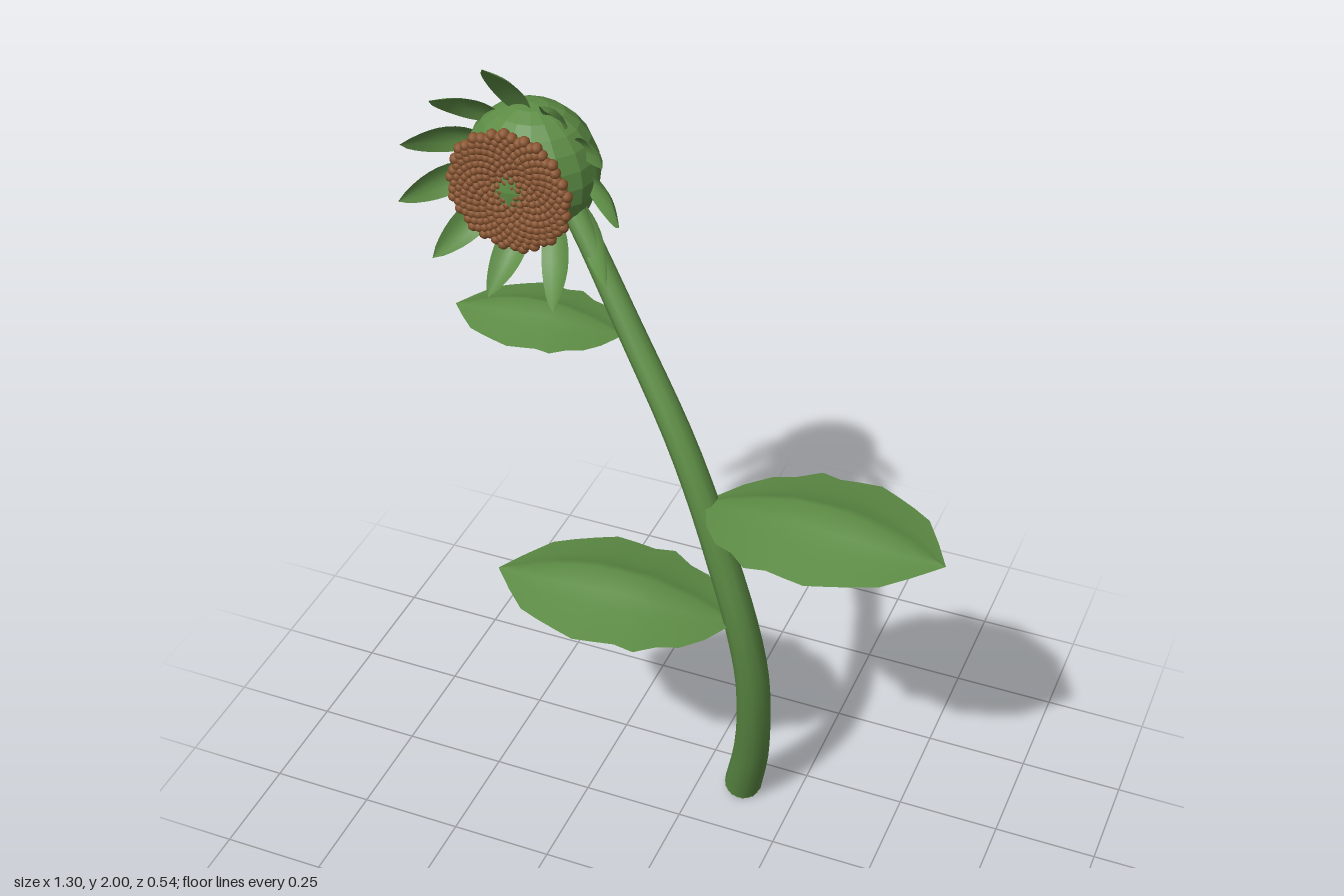
import * as THREE from 'three';

const V = (x, y, z) => new THREE.Vector3(x, y, z);

// Surface from a grid: point(t, s) with t in 0..1 along and s in -1..1 across
function surface(nt, ns, point) {
  const pos = [], idx = [];
  for (let i = 0; i <= nt; i++)
    for (let j = 0; j <= ns; j++) pos.push(...point(i / nt, (j / ns) * 2 - 1).toArray());
  for (let i = 0; i < nt; i++)
    for (let j = 0; j < ns; j++) {
      const a = i * (ns + 1) + j, b = a + ns + 1;
      idx.push(a, a + 1, b, b, a + 1, b + 1);
    }
  const g = new THREE.BufferGeometry();
  g.setAttribute('position', new THREE.Float32BufferAttribute(pos, 3));
  g.setIndex(idx);
  g.computeVertexNormals();
  return g;
}

// Arched leaf with a toothed outline and a raised midrib
const OUTLINE = [0.05, 0.45, 0.7, 0.79, 0.98, 0.93, 0.97, 1, 0.9, 0.79, 0.66, 0.35, 0];
function leafGeometry(base, tip, arch, halfWidth) {
  const n = OUTLINE.length - 1;
  const along = tip.clone().sub(base).setY(0).normalize();
  const side = V(-along.z, 0, along.x);
  if (along.x > 0) side.negate();
  return surface(n, 8, (t, s) => {
    const w = OUTLINE[Math.round(t * n)];
    const bow = Math.sin(Math.PI * t);
    const p = base.clone().lerp(tip, t).addScaledVector(side, s * w * halfWidth);
    p.y += arch * bow * (1 - 0.85 * Math.pow(Math.abs(s), 0.65));
    return p;
  });
}

export function createModel() {
  const group = new THREE.Group();
  const green = new THREE.MeshStandardMaterial({ color: 0x5d8c45, side: THREE.DoubleSide });
  green.name = 'leafGreen';
  const brown = new THREE.MeshStandardMaterial({ color: 0x8a5530 });
  brown.name = 'seedBrown';
  const add = (name, geo, mat, parent = group) => {
    const m = new THREE.Mesh(geo, mat);
    m.name = name;
    parent.add(m);
    return m;
  };

  // Curved, tapering stem
  const path = new THREE.CatmullRomCurve3([
    V(0.113, 0.018, -0.152), V(0.155, 0.2, -0.09), V(0.18, 0.4, -0.03), V(0.184, 0.55, 0.005),
    V(0.165, 0.72, 0.033), V(0.12, 0.9, 0.042), V(0.07, 1.05, 0.036), V(0, 1.2, 0.014),
    V(-0.13, 1.4, -0.04), V(-0.275, 1.6, -0.11), V(-0.33, 1.66, -0.135),
  ]);
  const R = 0.047, rings = 28, sides = 10;
  const stem = new THREE.TubeGeometry(path, rings, R, sides);
  const p = stem.attributes.position, nrm = stem.attributes.normal;
  for (let i = 0; i < p.count; i++) {
    const u = Math.floor(i / (sides + 1)) / rings;
    const d = -0.021 * u;
    p.setXYZ(i, p.getX(i) + nrm.getX(i) * d, p.getY(i) + nrm.getY(i) * d, p.getZ(i) + nrm.getZ(i) * d);
  }
  add('stem', stem, green);
  const cap = add('stemEnd', new THREE.CircleGeometry(R, sides), green);
  cap.position.copy(path.getPointAt(0));
  cap.quaternion.setFromUnitVectors(V(0, 0, 1), path.getTangentAt(0).negate());

  // Three leaves
  add('lowerLeaf', leafGeometry(V(0.15, 0.715, 0.035), V(-0.412, 0.755, 0.105), 0.073, 0.19), green);
  add('middleLeaf', leafGeometry(V(0.08, 1.045, 0.035), V(0.652, 1.088, 0.105), 0.073, 0.195), green);
  add('upperLeaf', leafGeometry(V(-0.15, 1.385, -0.04), V(-0.53, 1.402, 0.008), 0.048, 0.13), green);

  // Flower head, faceted and slightly flattened front to back
  const head = new THREE.Group();
  head.name = 'flowerHead';
  head.position.set(-0.4, 1.7, 0);
  group.add(head);
  const bulb = new THREE.SphereGeometry(0.153, 16, 12).toNonIndexed();
  bulb.scale(1, 1, 0.86);
  bulb.computeVertexNormals();
  add('bulb', bulb, green, head).position.z = -0.142;

  // Seeds in a spiral disc
  const seeds = new THREE.Group();
  seeds.name = 'seeds';
  head.add(seeds);
  const seedGeo = new THREE.SphereGeometry(1, 8, 6);
  const count = 260;
  for (let i = 0; i < count; i++) {
    const k = Math.sqrt((i + 0.5) / count), a = i * 2.39996;
    const seed = add('seed', seedGeo, brown, seeds);
    seed.position.set(0.139 * k * Math.cos(a), 0.139 * k * Math.sin(a), -0.021);
    seed.scale.setScalar(0.008 + 0.005 * Math.min(1, k * 1.6));
  }

  // Ring of cupped sepals reaching forward
  const reach = [0.3, 0.255, 0.27, 0.27, 0.29, 0.285, 0.265, 0.26, 0.26, 0.25, 0.256];
  reach.forEach((len, i) => {
    const geo = surface(9, 4, (t, s) => {
      const w = 0.036 * Math.pow(Math.sin(Math.PI * (0.12 + 0.88 * Math.pow(t, 0.9))), 0.75);
      const cup = 0.4 * w * s * s, bow = 0.012 * Math.sin(Math.PI * t);
      return V(
        0.135 + (len - 0.135) * t + bow - cup * 0.7,
        s * (t === 1 ? 0 : w),
        -0.14 + 0.152 * t - bow + cup * 0.7
      );
    });
    add('sepal', geo, green, head).rotation.z = THREE.MathUtils.degToRad(96 - i * 360 / 11);
  });
  return group;
}
